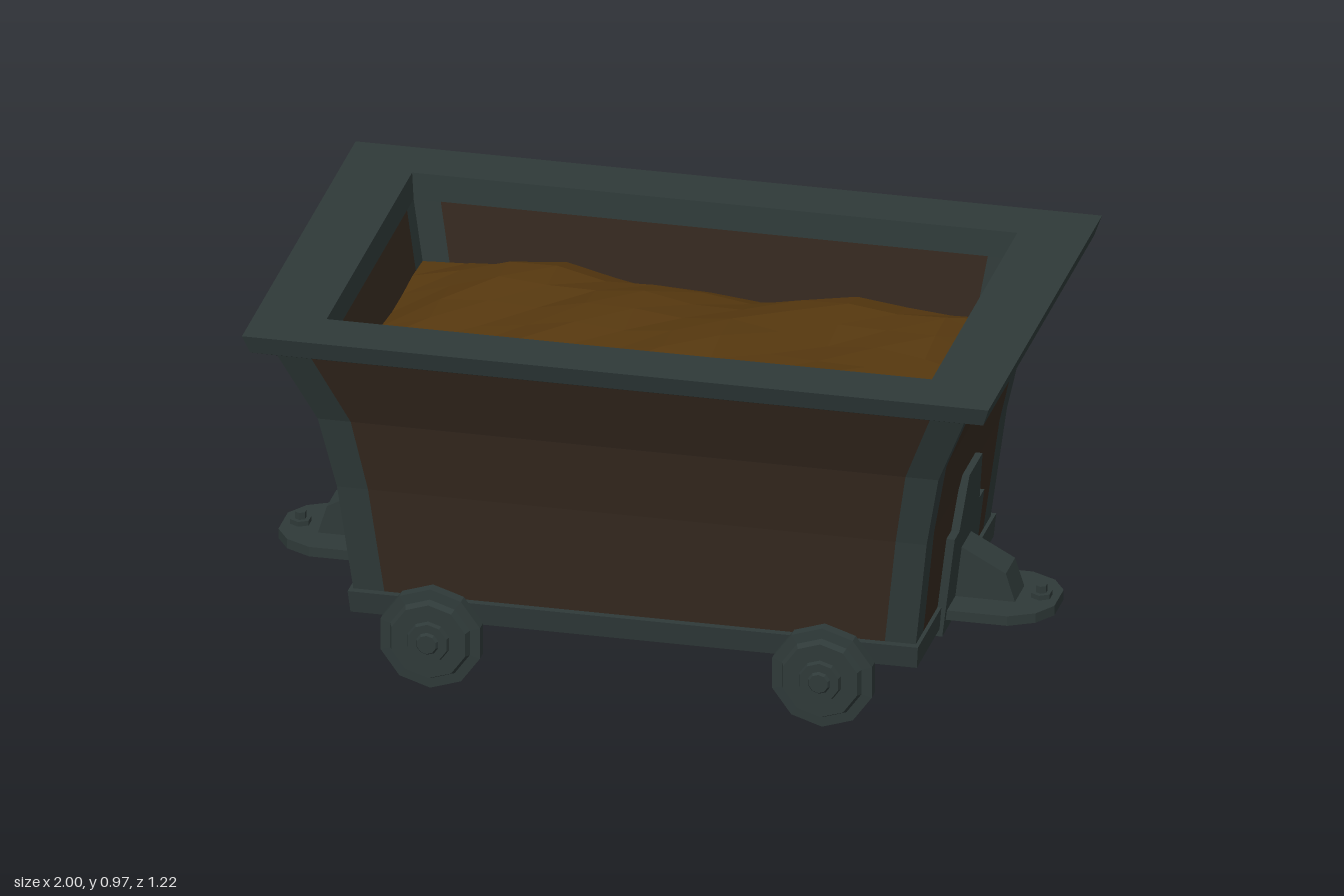
import * as THREE from 'three';

const flat = (name, color) => new THREE.MeshStandardMaterial({ name, color, flatShading: true });

export function createModel() {
  const metal = flat('dark iron', 0x2f3a39);
  const wood = flat('dark wood', 0x35291f);
  const ore = flat('ochre ore', 0x56380f);
  const cart = new THREE.Group();
  cart.name = 'mineCart';

  const add = (parent, name, geometry, material) => {
    const mesh = new THREE.Mesh(geometry, material);
    mesh.name = name;
    parent.add(mesh);
    return mesh;
  };

  // Rectangular ring of 12 points: each side is post, panel, post
  const ring = ([x, y, z, s]) => [
    [-x, y, z], [-x + s, y, z], [x - s, y, z],
    [x, y, z], [x, y, z - s], [x, y, -z + s],
    [x, y, -z], [x - s, y, -z], [-x + s, y, -z],
    [-x, y, -z], [-x, y, -z + s], [-x, y, z - s],
  ];

  // Tub cross-section: half width, height, half depth, post width, kind of the band above
  const levels = [
    [0, 0.15, 0, 0, 'wood'],
    [0.64, 0.15, 0.4, 0.085, 'frame'],
    [0.73, 0.15, 0.41, 0.085, 'frame'],
    [0.735, 0.21, 0.42, 0.085, 'frame'],
    [0.725, 0.21, 0.4, 0.08, 'panels'],
    [0.76, 0.5, 0.43, 0.08, 'panels'],
    [0.8, 0.7, 0.47, 0.085, 'panels'],
    [0.885, 0.9, 0.55, 0.088, 'rim'],
    [0.945, 0.92, 0.592, 0.09, 'rim'],
    [0.962, 0.97, 0.608, 0.09, 'rim'],
    [0.78, 0.97, 0.457, 0.07, 'rim'],
    [0.775, 0.9, 0.452, 0.07, 'panels'],
    [0.745, 0.72, 0.435, 0.07, 'wood'],
    [0, 0.72, 0, 0, 'end'],
  ];
  const parts = { frame: [], posts: [], rim: [], panels: [] };
  for (let i = 0; i < levels.length - 1; i++) {
    const lo = ring(levels[i]), hi = ring(levels[i + 1]), kind = levels[i][4];
    for (let j = 0; j < 12; j++) {
      const k = (j + 1) % 12;
      let part = kind === 'wood' ? 'panels' : kind;
      if (kind === 'panels' && j % 3 !== 1) part = 'posts';
      parts[part].push(...lo[j], ...lo[k], ...hi[k], ...lo[j], ...hi[k], ...hi[j]);
    }
  }
  const names = { frame: 'bottomFrame', posts: 'cornerPosts', rim: 'topRim', panels: 'woodPanels' };
  for (const key in parts) {
    const g = new THREE.BufferGeometry();
    g.setAttribute('position', new THREE.Float32BufferAttribute(parts[key], 3));
    g.computeVertexNormals();
    add(cart, names[key], g, key === 'panels' ? wood : metal);
  }

  // Uneven heap of ore, sinking towards the walls
  const heap = new THREE.PlaneGeometry(1.5, 0.89, 12, 8).rotateX(-Math.PI / 2);
  const hp = heap.attributes.position;
  for (let i = 0; i < hp.count; i++) {
    const x = hp.getX(i), z = hp.getZ(i);
    const edge = Math.max(Math.abs(x) / 0.75, Math.abs(z) / 0.445);
    const bumps = 0.02 * Math.sin(7 * x + 1.5) * Math.cos(6 * z) + 0.012 * Math.sin(17 * x + 11 * z);
    const mound = 0.03 * Math.exp(-((x + 0.45) ** 2 + (z + 0.15) ** 2) * 8);
    hp.setY(i, 0.795 + bumps + mound - 0.065 * edge ** 4);
  }
  heap.computeVertexNormals();
  add(cart, 'oreHeap', heap, ore);

  // Wheels turned from a flanged profile, with axles between them
  const profile = [[0, -0.056], [0.025, -0.056], [0.03, -0.048], [0.052, -0.048], [0.056, -0.036],
    [0.1, -0.036], [0.108, -0.018], [0.135, -0.016], [0.135, 0.016], [0.108, 0.018], [0.1, 0.036],
    [0.056, 0.036], [0.052, 0.048], [0.03, 0.048], [0.025, 0.056], [0, 0.056]];
  const wheel = new THREE.LatheGeometry(profile.map(([r, y]) => new THREE.Vector2(r, y)), 10)
    .rotateX(Math.PI / 2);
  const axle = new THREE.CylinderGeometry(0.013, 0.013, 0.96, 8).rotateX(Math.PI / 2);
  for (const x of [-0.505, 0.505]) {
    for (const z of [0.475, -0.505]) add(cart, 'wheel', wheel, metal).position.set(x, 0.135, z);
    add(cart, 'axle', axle, metal).position.set(x, 0.123, -0.015);
  }

  // Extrude a polygon given as corner pairs
  const prism = (points, depth) => new THREE.ExtrudeGeometry(
    new THREE.Shape(points.map(([a, b]) => new THREE.Vector2(a, b))), { depth, bevelEnabled: false });

  // Stepped end plate, leaning with the tub wall
  const plate = prism([[-0.158, 0.13], [0.158, 0.13], [0.158, 0.4], [0.108, 0.4], [0.07, 0.54],
    [-0.07, 0.54], [-0.108, 0.4], [-0.158, 0.4]], 0.022).rotateY(Math.PI / 2);
  const pp = plate.attributes.position;
  for (let i = 0; i < pp.count; i++) pp.setX(i, pp.getX(i) + 0.715 + 0.12 * (pp.getY(i) - 0.13));
  plate.computeVertexNormals();

  const gusset = prism([[0.73, 0.19], [0.9, 0.19], [0.875, 0.27], [0.755, 0.335]], 0.1)
    .translate(0, 0, -0.05);
  const bar = prism([[0.7, -0.14], [0.9, -0.14], [0.965, -0.105], [1, -0.05],
    [1, 0.05], [0.965, 0.105], [0.9, 0.14], [0.7, 0.14]], 0.026)
    .rotateX(-Math.PI / 2).translate(0, 0.169, 0);

  // Matching couplings at both ends
  for (const turn of [0, Math.PI]) {
    const hitch = new THREE.Group();
    hitch.name = 'coupling';
    hitch.rotation.y = turn;
    hitch.position.z = 0.01;
    add(hitch, 'endPlate', plate, metal);
    add(hitch, 'gusset', gusset, metal);
    add(hitch, 'drawbar', bar, metal);
    add(hitch, 'underBlock', new THREE.BoxGeometry(0.11, 0.05, 0.316), metal).position.set(0.67, 0.155, 0);
    add(hitch, 'boltBase', new THREE.CylinderGeometry(0.028, 0.028, 0.014, 6), metal).position.set(0.955, 0.201, 0);
    add(hitch, 'boltHead', new THREE.CylinderGeometry(0.015, 0.015, 0.02, 6), metal).position.set(0.955, 0.217, 0);
    cart.add(hitch);
  }
  return cart;
}
